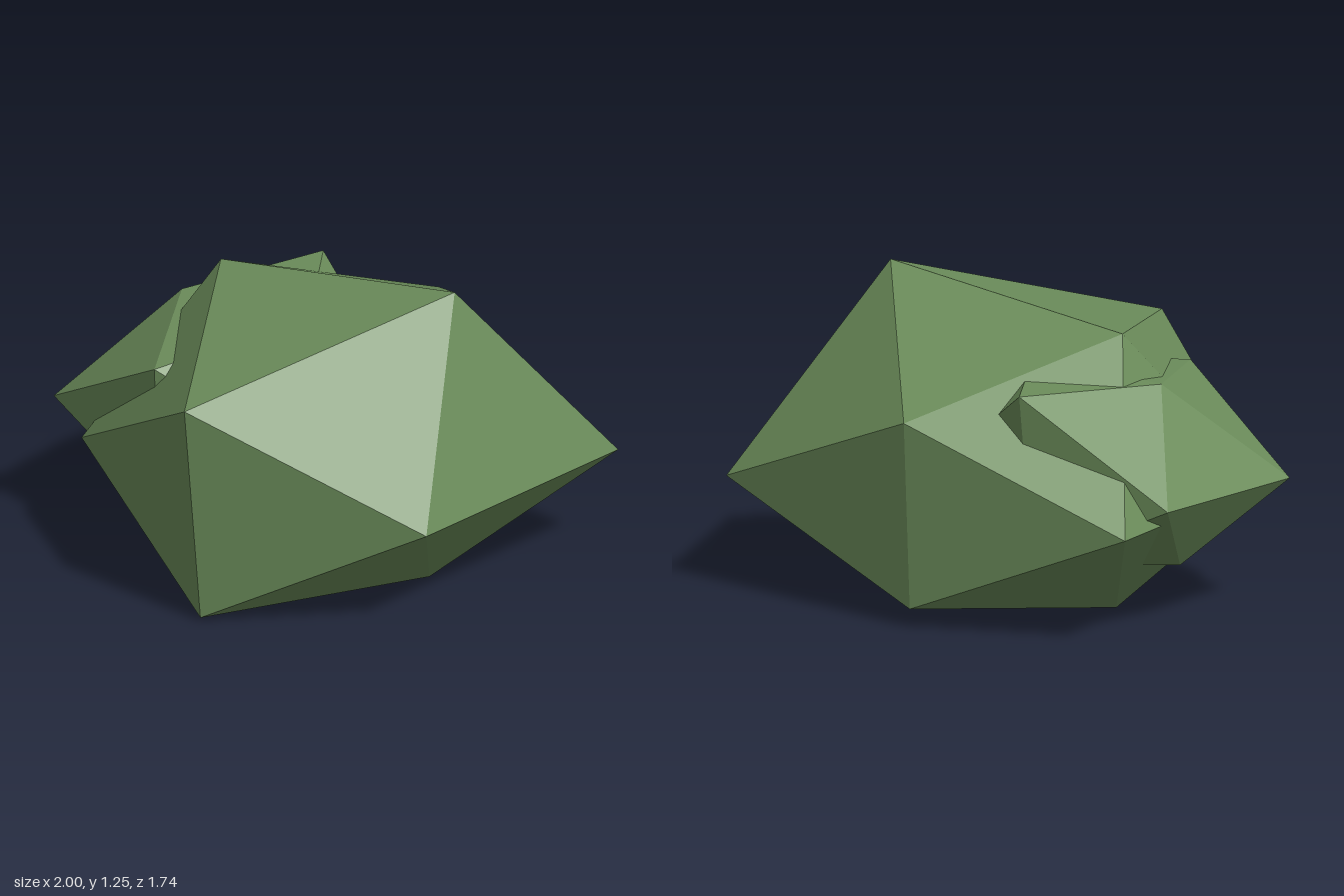
import * as THREE from 'three';

// Twelve corners as six opposite edge pairs:
// 0,1 top (+x,-x)   2,3 bottom (+x,-x)   4,5 front (up,down)
// 6,7 back (up,down)   8,9 +x side (front,back)   10,11 -x side (front,back)
const FACES = [
  [0, 1, 4], [0, 1, 6], [2, 3, 5], [2, 3, 7], [4, 5, 8], [4, 5, 10], [6, 7, 9],
  [6, 7, 11], [8, 9, 0], [8, 9, 2], [10, 11, 1], [10, 11, 3], [0, 4, 8], [0, 6, 9],
  [1, 4, 10], [1, 6, 11], [2, 5, 8], [2, 7, 9], [3, 5, 10], [3, 7, 11],
];

// Faceted boulder: an irregular icosahedron with every face turned outward
function boulder(name, corners, material) {
  const points = corners.map((c) => new THREE.Vector3(...c));
  const centre = points.reduce((s, p) => s.add(p), new THREE.Vector3()).divideScalar(points.length);
  const positions = [];
  for (const face of FACES) {
    const [a, b, c] = face.map((i) => points[i]);
    const normal = b.clone().sub(a).cross(c.clone().sub(a));
    const outward = normal.dot(a.clone().sub(centre)) > 0;
    for (const p of outward ? [a, b, c] : [a, c, b]) positions.push(p.x, p.y, p.z);
  }
  const geometry = new THREE.BufferGeometry();
  geometry.setAttribute('position', new THREE.Float32BufferAttribute(positions, 3));
  geometry.computeVertexNormals();
  const mesh = new THREE.Mesh(geometry, material);
  mesh.name = name;
  return mesh;
}

export function createModel() {
  const group = new THREE.Group();
  group.name = 'mossyRocks';
  const moss = new THREE.MeshStandardMaterial({ color: 0x6b8c5a });
  moss.name = 'moss green';

  group.add(boulder('largeBoulder', [
    [0.64, 1.25, -0.1], [-0.47, 1.11, -0.1],
    [0.52, 0.005, -0.1], [-0.44, 0.005, -0.1],
    [0.03, 0.94, 0.87], [0.03, 0.02, 0.76],
    [0.03, 0.835, -0.87], [0.03, 0.08, -0.83],
    [0.86, 0.45, 0.41], [1.0, 0.45, -0.7],
    [-0.785, 0.45, 0.4], [-0.89, 0.455, -0.675],
  ], moss));

  // Smaller boulder sunk into the -x side
  group.add(boulder('smallBoulder', [
    [-0.05, 0.97, -0.1], [-0.655, 0.935, -0.1],
    [-0.05, 0.2, -0.1], [-0.745, 0.22, -0.1],
    [-0.38, 0.875, 0.485], [-0.38, 0.27, 0.45],
    [-0.38, 0.96, -0.67], [-0.38, 0.27, -0.58],
    [0.2, 0.53, 0.25], [0.2, 0.53, -0.45],
    [-1.0, 0.53, 0.28], [-0.935, 0.53, -0.45],
  ], moss));

  return group;
}
